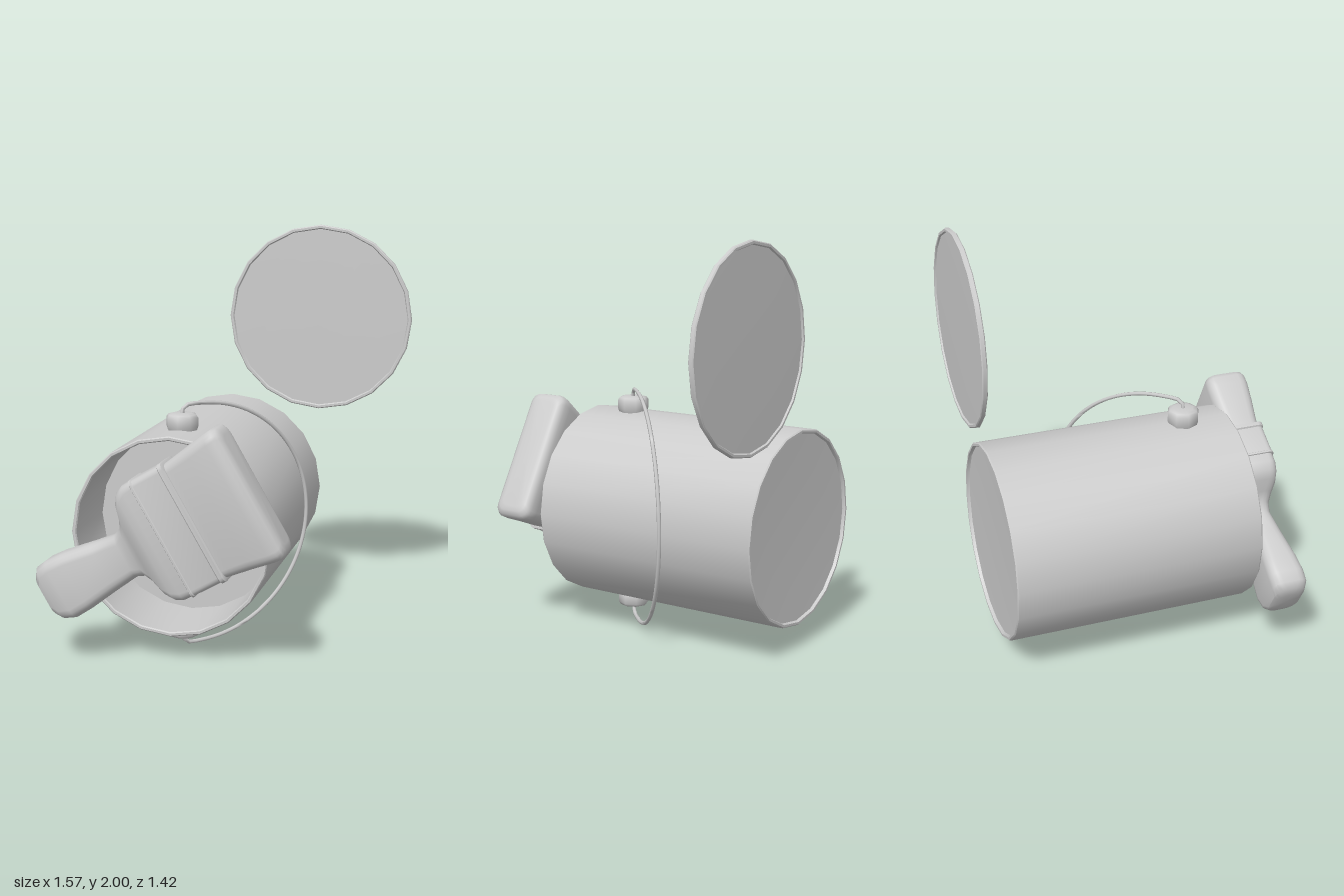
import * as THREE from 'three';
import { toCreasedNormals } from 'three/addons/utils/BufferGeometryUtils.js';

const material = new THREE.MeshStandardMaterial({ color: 0xcccccc });

function addMesh(parent, geometry, name, crease = Math.PI / 5) {
  const mesh = new THREE.Mesh(toCreasedNormals(geometry, crease), material);
  mesh.name = name;
  parent.add(mesh);
  return mesh;
}

function lathe(points, sides) {
  return new THREE.LatheGeometry(points.map(([r, y]) => new THREE.Vector2(r, y)), sides);
}

// Rounded-rectangle sections along x: [x, yLow, yHigh, halfDepth, cornerRadius]
function loft(sections) {
  const steps = 4, n = 4 * (steps + 1);
  const positions = [], index = [];
  const first = sections[0], last = sections[sections.length - 1];
  const point = ([x, lo, hi]) => [x, (lo + hi) / 2, (lo + hi) / 2, 0, 0];
  const rings = [point(first), ...sections, point(last)];
  rings.forEach(([x, lo, hi, depth, corner]) => {
    const mid = (lo + hi) / 2, half = (hi - lo) / 2;
    const r = Math.min(corner, half, depth);
    for (let q = 0; q < 4; q++) {
      const sy = q === 0 || q === 3 ? 1 : -1, sz = q < 2 ? 1 : -1;
      for (let k = 0; k <= steps; k++) {
        const a = (q + k / steps) * Math.PI / 2;
        positions.push(x, mid + sy * (half - r) + r * Math.cos(a), sz * (depth - r) + r * Math.sin(a));
      }
    }
  });
  for (let i = 0; i < rings.length - 1; i++) {
    for (let j = 0; j < n; j++) {
      const a = i * n + j, b = i * n + (j + 1) % n;
      index.push(a, b, a + n, b, b + n, a + n);
    }
  }
  const geometry = new THREE.BufferGeometry();
  geometry.setAttribute('position', new THREE.Float32BufferAttribute(positions, 3));
  geometry.setIndex(index);
  return geometry;
}

export function createModel() {
  const model = new THREE.Group();
  const canX = -0.176, canY = 0.607, earZ = 0.27;

  // Can lying on its side: recessed base, wall, rim, inner wall, contents
  const can = addMesh(model, lathe([
    [0, -0.69], [0.3, -0.691], [0.462, -0.695], [0.467, -0.71], [0.478, -0.71], [0.483, -0.704],
    [0.483, 0.494], [0.478, 0.5], [0.467, 0.5], [0.462, 0.494], [0.462, 0.12], [0, 0.12],
  ], 20).rotateX(Math.PI / 2), 'can');
  can.position.set(canX, canY, 0);

  // Lid standing behind the can
  const lid = addMesh(model, lathe([
    [0, -0.007], [0.3, -0.007], [0.462, -0.005], [0.467, -0.013], [0.478, -0.013], [0.483, -0.008],
    [0.483, 0.008], [0.478, 0.013], [0.467, 0.013], [0.462, 0.005], [0.3, 0.007], [0, 0.007],
  ], 20).rotateX(Math.PI / 2), 'lid');
  lid.position.set(0.298, 1.517, -0.698);

  // Handle ears above and below
  for (const side of [1, -1]) {
    const ear = addMesh(model, lathe([
      [0, -0.02], [0.072, -0.02], [0.079, 0], [0.079, 0.04], [0.07, 0.054], [0.05, 0.06], [0, 0.06],
    ], 8), side > 0 ? 'upperEar' : 'lowerEar', Math.PI / 3);
    ear.position.set(canX, canY + side * 0.493, earZ);
    if (side < 0) ear.rotation.x = Math.PI;
  }

  // Wire handle: half ellipse with hooked ends, swung diagonally
  const path = [];
  const wirePoint = (d, y) => path.push(new THREE.Vector3(canX + d, canY + y, earZ - d));
  wirePoint(0, 0.54);
  wirePoint(0, 0.565);
  wirePoint(0.012, 0.587);
  for (let i = 0; i <= 16; i++) {
    const a = Math.PI * (0.5 - i / 16);
    wirePoint(0.07 + 0.433 * Math.cos(a), 0.593 * Math.sin(a));
  }
  wirePoint(0.012, -0.587);
  wirePoint(0, -0.565);
  wirePoint(0, -0.54);
  addMesh(model, new THREE.TubeGeometry(new THREE.CatmullRomCurve3(path), 64, 0.01, 6), 'wireHandle', Math.PI / 2.5);

  // Paintbrush tilted across the mouth of the can
  const brush = new THREE.Group();
  brush.name = 'brush';
  brush.position.z = 0.603;
  brush.rotation.z = Math.PI / 6;
  model.add(brush);

  addMesh(brush, loft([
    [-0.478, 0.585, 0.72, 0.055, 0.05],
    [-0.468, 0.545, 0.765, 0.078, 0.055],
    [-0.44, 0.517, 0.793, 0.089, 0.05],
    [-0.385, 0.497, 0.801, 0.091, 0.05],
    [-0.3, 0.502, 0.796, 0.085, 0.05],
    [-0.15, 0.522, 0.773, 0.07, 0.05],
    [-0.03, 0.536, 0.756, 0.058, 0.045],
    [0.015, 0.52, 0.775, 0.062, 0.045],
    [0.045, 0.475, 0.82, 0.075, 0.045],
    [0.07, 0.4, 0.89, 0.088, 0.045],
    [0.1, 0.362, 0.927, 0.095, 0.045],
    [0.14, 0.346, 0.943, 0.098, 0.04],
    [0.187, 0.346, 0.943, 0.098, 0.035],
  ]), 'brushHandle', Math.PI / 4);

  addMesh(brush, loft([
    [0.184, 0.348, 0.941, 0.097, 0.03],
    [0.187, 0.34, 0.949, 0.102, 0.03],
    [0.196, 0.34, 0.949, 0.102, 0.03],
    [0.2, 0.345, 0.944, 0.099, 0.03],
    [0.34, 0.345, 0.944, 0.099, 0.03],
    [0.345, 0.338, 0.951, 0.103, 0.03],
    [0.364, 0.338, 0.951, 0.103, 0.03],
    [0.37, 0.35, 0.939, 0.093, 0.03],
  ]), 'ferrule', Math.PI / 6);

  addMesh(brush, loft([
    [0.36, 0.352, 0.937, 0.086, 0.04],
    [0.4, 0.345, 0.943, 0.09, 0.045],
    [0.5, 0.332, 0.958, 0.102, 0.05],
    [0.6, 0.316, 0.974, 0.108, 0.05],
    [0.64, 0.313, 0.977, 0.106, 0.05],
    [0.662, 0.322, 0.968, 0.097, 0.045],
    [0.674, 0.342, 0.948, 0.08, 0.04],
    [0.678, 0.365, 0.925, 0.06, 0.035],
  ]), 'bristles', Math.PI / 4);

  return model;
}
